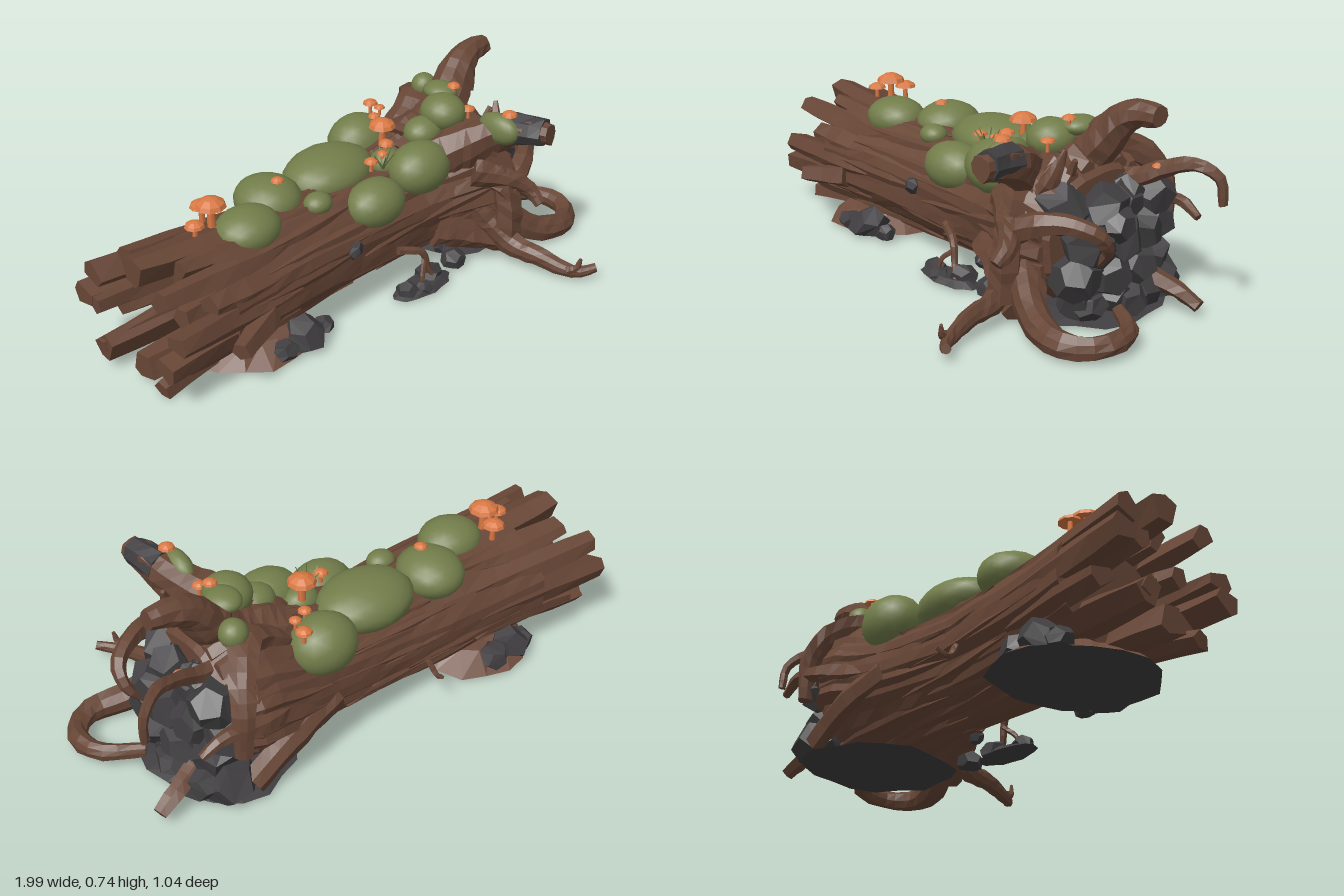
import * as THREE from 'three';

const V = (x, y, z) => new THREE.Vector3(x, y, z);
const mat = (name, color) => {
  const m = new THREE.MeshStandardMaterial({ color });
  m.name = name;
  return m;
};
let seed = 7;
const rnd = (a = 0, b = 1) => {
  seed = (seed * 16807) % 2147483647;
  return a + (b - a) * (seed / 2147483647);
};
const hash = (a, b, c = 0) => {
  const s = Math.sin(a * 12.99 + b * 78.23 + c * 37.72) * 43758.54;
  return s - Math.floor(s);
};
const flat = (g) => {
  const f = g.index ? g.toNonIndexed() : g;
  f.computeVertexNormals();
  return f;
};
// Everything is cut level at the ground, except the overhanging broken end
const level = (x, y) => Math.max(y, x < -0.75 ? 0 : 0.03);

// Closed faceted skin through a list of rings, with both ends capped
function skin(rings) {
  const n = rings[0].length, pos = [], idx = [];
  rings.forEach((r) => r.forEach((p) => pos.push(p.x, level(p.x, p.y), p.z)));
  for (let i = 0; i < rings.length - 1; i++) for (let j = 0; j < n; j++) {
    const a = i * n + j, b = i * n + (j + 1) % n;
    idx.push(a, b, a + n, b, b + n, a + n);
  }
  [0, rings.length - 1].forEach((i) => {
    const c = rings[i].reduce((s, p) => s.add(p), V(0, 0, 0)).divideScalar(n);
    const k = pos.length / 3;
    pos.push(c.x, level(c.x, c.y), c.z);
    for (let j = 0; j < n; j++) {
      const a = i * n + j, b = i * n + (j + 1) % n;
      if (i) idx.push(k, a, b); else idx.push(k, b, a);
    }
  });
  const g = new THREE.BufferGeometry();
  g.setAttribute('position', new THREE.Float32BufferAttribute(pos, 3));
  g.setIndex(idx);
  return flat(g);
}

// Gnarled tapering limb along a path
function limb(points, r0, r1, sides = 6, steps = 8, rough = 0.25) {
  const curve = new THREE.CatmullRomCurve3(points.map((p) => V(...p)));
  const { normals, binormals } = curve.computeFrenetFrames(steps);
  const ridge = Array.from({ length: sides }, () => 1 + rnd(-rough, rough));
  const rings = [];
  for (let i = 0; i <= steps; i++) {
    const c = curve.getPointAt(i / steps), r = r0 + (r1 - r0) * i / steps;
    rings.push(ridge.map((k, j) => {
      const a = j / sides * Math.PI * 2, q = r * k * rnd(0.92, 1.08);
      return c.clone().addScaledVector(normals[i], Math.cos(a) * q).addScaledVector(binormals[i], Math.sin(a) * q);
    }));
  }
  return skin(rings);
}

// Move vertices by a hash of their position so shared corners stay joined
function roughen(g, amount, s) {
  const p = g.attributes.position, v = V(0, 0, 0);
  for (let i = 0; i < p.count; i++) {
    v.fromBufferAttribute(p, i);
    const k = 1 + amount * (hash(Math.round(v.x * 50) + s, Math.round(v.y * 50), Math.round(v.z * 50)) - 0.5);
    p.setXYZ(i, v.x * k, v.y * k, v.z * k);
  }
  return g;
}

// Trunk stations: x, centre y, centre z, half height, half depth
const stations = [
  [-0.98, 0.27, -0.22, 0.235, 0.27], [-0.7, 0.265, -0.21, 0.215, 0.25], [-0.5, 0.26, -0.2, 0.21, 0.24],
  [-0.1, 0.25, -0.2, 0.21, 0.22], [0.22, 0.26, -0.2, 0.215, 0.235], [0.38, 0.28, -0.19, 0.245, 0.26],
  [0.52, 0.31, -0.17, 0.275, 0.3], [0.62, 0.31, -0.16, 0.275, 0.31], [0.67, 0.29, -0.17, 0.22, 0.25],
];
function surface(x, a, lift = 0) {
  let i = 0;
  while (i < stations.length - 2 && x > stations[i + 1][0]) i++;
  const A = stations[i], B = stations[i + 1], t = (x - A[0]) / (B[0] - A[0]);
  const [, cy, cz, ry, rz] = A.map((v, k) => v + (B[k] - v) * t);
  return V(x, cy + Math.cos(a) * (ry + lift), cz + Math.sin(a) * (rz + lift));
}

// Wedge of wood following the trunk: angle, half angle, x range, end widths, thickness, lift, sideways drift
function plank(a, w, x0, x1, e0, e1, thick, lift, drift = 0) {
  const rings = [], crest = rnd(-0.4, 0.4);
  for (let i = 0; i <= 5; i++) {
    const t = i / 5, end = t < 0.5 ? e0 : e1;
    const half = w * (end + (1 - end) * Math.sin(t * Math.PI)), c = a + drift * t;
    const top = lift - (1 - end) * 0.012 * Math.abs(2 * t - 1);
    const x = x0 + (x1 - x0) * t;
    rings.push([[-1, -0.006], [crest, 0.008], [1, -0.006], [0.8, -thick], [-0.8, -thick]].map(([k, l]) =>
      surface(x, c + k * half, top + l + rnd(-0.003, 0.003))));
  }
  return skin(rings);
}

export function createModel() {
  const root = new THREE.Group();
  const bark = mat('bark brown', 0x674636), rock = mat('dark stone', 0x403e40);
  const moss = mat('moss green', 0x727d4a), cap = mat('mushroom orange', 0xd87843), soil = mat('soil brown', 0x6e4c3d);
  const add = (name, geo, m) => {
    const mesh = new THREE.Mesh(geo, m);
    mesh.name = name;
    root.add(mesh);
    return mesh;
  };

  // Trunk with grooved bark
  const rings = [], N = 36;
  for (let i = 0; i <= 16; i++) {
    const x = -0.69 + 1.36 * i / 16;
    rings.push(Array.from({ length: N }, (_, j) =>
      surface(x, j / N * Math.PI * 2 + Math.sin(x * 4) * 0.08, (hash(j, 3) - 0.6) * 0.016 + rnd(-0.003, 0.003))));
  }
  add('trunk', skin(rings), bark);

  // Broad raised bark strips
  for (let i = 0; i < 34; i++) {
    const x0 = rnd(-0.68, 0.05);
    add('barkStrip', plank(i * 2.4, rnd(0.1, 0.2), x0, Math.min(0.62, x0 + rnd(0.4, 0.75)), 0.2, 0.15, 0.025, 0.002, rnd(-0.25, 0.25)), bark);
  }

  // Broken end: wide splayed planks (angle, half angle, tip x)
  [[0, 0.28, -0.92], [-0.55, 0.22, -0.86], [-0.98, 0.22, -0.95], [-1.5, 0.24, -0.97], [-2, 0.2, -0.84], [-2.5, 0.24, -0.97],
    [3.1, 0.28, -0.92], [2.5, 0.24, -0.85], [2, 0.22, -0.97], [1.52, 0.2, -0.93], [1.12, 0.2, -0.77], [0.75, 0.19, -0.93],
    [0.4, 0.15, -0.8]].forEach(([a, w, tip]) =>
    add('splinter', plank(a, w, tip, -0.4, 0.75, 0.3, 0.085, 0.003), bark));
  [[-0.98, 0.12, -0.36], [-0.97, 0.27, -0.38], [-0.93, 0.045, -0.1], [-0.74, 0.2, 0.09], [-0.86, 0.36, -0.3], [-0.84, 0.3, -0.08]].forEach(([x, y, z]) =>
    add('longSplinter', limb([[-0.55, 0.27 + (y - 0.27) * 0.75, -0.2 + (z + 0.2) * 0.75], [x, y, z]], 0.05, 0.036, 5, 4, 0.2), bark));

  // Flared roots and broken limbs: path, start radius, end radius
  const limbs = {
    upperStub: [[[0.36, 0.43, -0.2], [0.52, 0.5, -0.2], [0.62, 0.6, -0.21], [0.7, 0.69, -0.225], [0.76, 0.715, -0.23], [0.84, 0.72, -0.23]], 0.12, 0.036],
    upperStubRidge: [[[0.3, 0.45, -0.14], [0.46, 0.55, -0.15], [0.6, 0.63, -0.19], [0.68, 0.71, -0.22]], 0.06, 0.025],
    frontStub: [[[0.37, 0.4, -0.08], [0.47, 0.49, 0.03], [0.555, 0.565, 0.14], [0.575, 0.585, 0.22], [0.592, 0.59, 0.31]], 0.11, 0.038],
    frontRib: [[[0.5, 0.52, 0.06], [0.54, 0.42, 0.11], [0.55, 0.28, 0.15], [0.55, 0.1, 0.16]], 0.05, 0.058],
    longFrontRoot: [[[0.45, 0.3, 0.02], [0.51, 0.17, 0.12], [0.54, 0.1, 0.21], [0.56, 0.085, 0.32], [0.59, 0.06, 0.42], [0.62, 0.055, 0.47], [0.67, 0.07, 0.51]], 0.065, 0.018],
    loopRoot: [[[0.46, 0.34, 0.02], [0.58, 0.19, 0.1], [0.72, 0.085, 0.175], [0.88, 0.065, 0.2], [0.965, 0.07, 0.12], [0.95, 0.08, -0.01], [0.82, 0.08, -0.1]], 0.07, 0.022],
    highCurl: [[[0.55, 0.46, -0.26], [0.7, 0.47, -0.28], [0.8, 0.52, -0.31], [0.9, 0.55, -0.35], [0.965, 0.51, -0.39], [0.975, 0.42, -0.4]], 0.04, 0.014],
    middleCurl: [[[0.52, 0.3, 0.14], [0.62, 0.37, 0.15], [0.74, 0.4, 0.09], [0.83, 0.37, 0.02], [0.83, 0.31, -0.03], [0.78, 0.25, -0.04]], 0.05, 0.016],
    sideRoot: [[[0.45, 0.4, 0.06], [0.55, 0.37, 0.15], [0.62, 0.31, 0.22], [0.62, 0.27, 0.265]], 0.065, 0.022],
    backCurl: [[[0.38, 0.44, -0.28], [0.54, 0.55, -0.32], [0.62, 0.52, -0.41], [0.66, 0.42, -0.47], [0.67, 0.25, -0.475]], 0.07, 0.03],
    backRoot: [[[0.42, 0.3, -0.4], [0.6, 0.34, -0.47], [0.74, 0.36, -0.475], [0.82, 0.32, -0.47]], 0.055, 0.014],
    lowRoot: [[[0.62, 0.2, -0.28], [0.76, 0.13, -0.32], [0.85, 0.1, -0.35], [0.93, 0.06, -0.37]], 0.05, 0.025],
    rimSpike: [[[0.48, 0.4, 0.02], [0.6, 0.48, 0.03], [0.65, 0.61, 0]], 0.07, 0.008],
    innerSpike: [[[0.5, 0.44, -0.06], [0.62, 0.5, -0.04], [0.66, 0.57, -0.035]], 0.05, 0.01],
    lowerButtress: [[[0.3, 0.2, 0], [0.45, 0.14, 0.07], [0.6, 0.07, 0.15]], 0.07, 0.045],
    backButtress: [[[0.25, 0.25, -0.41], [0.45, 0.18, -0.44], [0.62, 0.08, -0.45]], 0.05, 0.045],
    frontTwig: [[[0.08, 0.2, 0.03], [0.17, 0.17, 0.07], [0.19, 0.1, 0.08], [0.22, 0.04, 0.1]], 0.018, 0.01],
    forkTwig: [[[0.18, 0.14, 0.07], [0.14, 0.1, 0.1], [0.13, 0.04, 0.11]], 0.012, 0.007],
    backTwig: [[[-0.16, 0.2, -0.42], [-0.17, 0.15, -0.46], [-0.16, 0.17, -0.5]], 0.012, 0.008],
    rootTip: [[[0.59, 0.06, 0.44], [0.6, 0.08, 0.47], [0.61, 0.12, 0.48]], 0.02, 0.007],
  };
  for (const [name, [pts, r0, r1]] of Object.entries(limbs))
    add(name, limb(pts, r0, r1, r0 > 0.06 ? 9 : 6, pts.length * 3, 0.15), bark);
  // Ridges running out along the flare
  for (let i = 0; i < 14; i++)
    add('flareRidge', plank(-1.9 + i * 0.29, 0.13, 0.28, 0.65, 0.3, 0.9, 0.05, 0.006, 0.1), bark);
  add('stubSleeve', limb([[0.56, 0.58, 0.155], [0.576, 0.587, 0.22], [0.59, 0.59, 0.285]], 0.064, 0.052, 8, 3, 0.06), rock);

  // Stones, cut level at the ground
  let stoneId = 1;
  const stone = (x, y, z, r, name = 'stone') => {
    const g = roughen(new THREE.DodecahedronGeometry(r).scale(rnd(0.9, 1.1), rnd(0.85, 1.05), rnd(0.95, 1.15)), 0.14, stoneId++);
    g.rotateX(rnd(0, 6)).rotateY(rnd(0, 6)).rotateZ(rnd(0, 6)).translate(x, y, z);
    const p = g.attributes.position;
    for (let i = 0; i < p.count; i++) p.setY(i, level(p.getX(i), p.getY(i)));
    add(name, flat(g), rock);
  };
  for (let row = 0; row < 4; row++) for (let k = 0; k < 4; k++) {
    const y = 0.09 + row * 0.102, z = -0.4 + (k + (row % 2) * 0.4) * 0.118;
    const d = ((y - 0.2) / 0.33) ** 2 + ((z + 0.2) / 0.32) ** 2;
    stone(0.63 + 0.11 * Math.max(0, 1 - d) + rnd(-0.02, 0.02), y, z, rnd(0.078, 0.098), 'rootStone');
  }
  [[0.75, 0.1, -0.36, 0.075], [0.77, 0.36, -0.13, 0.07], [0.76, 0.08, -0.2, 0.075], [0.73, 0.08, -0.05, 0.065], [0.68, 0.42, -0.25, 0.07],
    [-0.4, 0.06, 0.03, 0.075], [-0.5, 0.05, 0.04, 0.05], [-0.57, 0.07, -0.42, 0.075], [-0.48, 0.06, -0.43, 0.06],
    [-0.64, 0.05, -0.41, 0.05], [0.08, 0.04, 0.08, 0.045], [0.14, 0.04, 0.11, 0.035], [0.22, 0.05, 0.06, 0.055],
    [0.36, 0.05, 0.06, 0.05], [-0.13, 0.29, 0.01, 0.035], [-0.3, 0.05, 0.02, 0.04], [0.3, 0.13, 0.04, 0.03],
  ].forEach((s) => stone(...s));

  // Soil mounds with flat dark undersides: x, z, radii, height
  [[-0.5, -0.2, 0.26, 0.29, 0.06], [0.58, -0.19, 0.26, 0.28, 0.02], [0.16, 0.08, 0.14, 0.065, 0.02]].forEach(([x, z, rx, rz, h], i) => {
    const g = new THREE.CylinderGeometry(0.7, 1, 1, 18);
    g.translate(0, 0.5, 0);
    const groups = g.groups, f = g.toNonIndexed();
    roughen(f, 0.15, i + 2).scale(rx, h, rz);
    f.computeVertexNormals();
    f.clearGroups();
    groups.forEach((q) => f.addGroup(q.start, q.count, q.materialIndex));
    const top = i ? rock : soil;
    add('mound', f, [top, top, rock]).position.set(x, 0.03, z);
  });

  // Moss cushions: x, y, z, then radii
  [[-0.47, 0.45, -0.165, 0.125, 0.08, 0.11], [-0.28, 0.45, -0.275, 0.12, 0.085, 0.13], [0.01, 0.45, -0.265, 0.19, 0.092, 0.145],
    [0.035, 0.395, -0.045, 0.125, 0.09, 0.098], [0.27, 0.45, -0.045, 0.13, 0.1, 0.105], [0.27, 0.45, -0.37, 0.125, 0.105, 0.11],
    [0.47, 0.59, -0.11, 0.085, 0.07, 0.09], [0.38, 0.53, -0.13, 0.08, 0.06, 0.07], [0.53, 0.635, -0.18, 0.06, 0.035, 0.07],
    [0.515, 0.585, 0.13, 0.045, 0.06, 0.09], [-0.18, 0.45, -0.12, 0.055, 0.04, 0.05], [0.58, 0.6, -0.31, 0.05, 0.05, 0.05],
    [0.2, 0.46, -0.15, 0.07, 0.055, 0.06],
  ].forEach(([x, y, z, a, b, c], i) => {
    const m = add('mossCushion', roughen(new THREE.IcosahedronGeometry(1, 3), 0.03, i), moss);
    m.scale.set(a, b, c);
    m.position.set(x, y, z);
  });
  // Grass sprigs
  for (let i = 0; i < 6; i++) {
    const a = i * 1.05;
    add('sprig', limb([[0.14, 0.47, -0.11], [0.14 + Math.cos(a) * 0.045, 0.54, -0.11 + Math.sin(a) * 0.045]], 0.006, 0.002, 3, 2), moss);
  }

  // Mushrooms: x, cap top y, z, cap radius
  const profile = [[0, -0.05], [0.55, -0.1], [1, -0.2], [0.88, 0.08], [0.45, 0.34], [0, 0.46]].map((p) => new THREE.Vector2(...p));
  [[-0.58, 0.6, -0.22, 0.056], [-0.66, 0.545, -0.21, 0.036], [-0.57, 0.56, -0.285, 0.042], [-0.27, 0.55, -0.23, 0.025],
    [0.23, 0.615, -0.2, 0.052], [0.2, 0.555, -0.15, 0.03], [0.09, 0.53, -0.12, 0.027], [0.16, 0.53, -0.13, 0.022],
    [0.37, 0.58, -0.4, 0.03], [0.3, 0.575, -0.31, 0.024], [0.36, 0.58, -0.34, 0.022], [0.54, 0.685, -0.12, 0.026],
    [0.53, 0.62, -0.035, 0.026], [0.53, 0.665, 0.165, 0.03], [0.78, 0.54, -0.3, 0.022]].forEach(([x, y, z, r]) => {
    const g = new THREE.Group();
    g.name = 'mushroom';
    const top = new THREE.Mesh(flat(new THREE.LatheGeometry(profile, 9)), cap);
    const stem = new THREE.Mesh(new THREE.CylinderGeometry(0.2, 0.28, 1.6, 6), cap);
    top.name = 'cap';
    stem.name = 'stem';
    stem.position.y = -0.8;
    g.add(top, stem);
    g.scale.setScalar(r);
    g.position.set(x, y - 0.46 * r, z);
    root.add(g);
  });
  return root;
}
